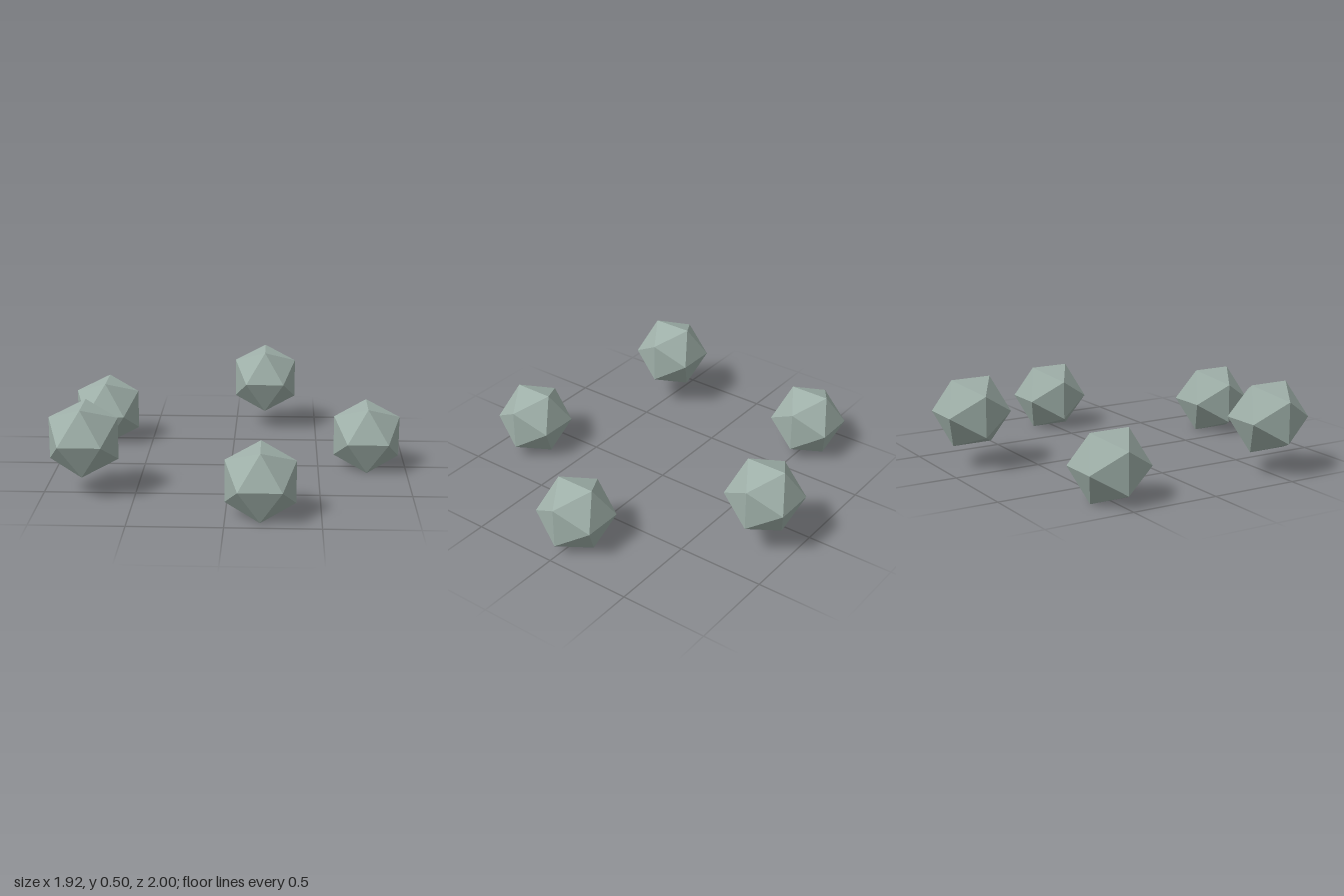
import * as THREE from 'three';

export function createModel() {
  const group = new THREE.Group();
  group.name = 'rockRing';

  const stone = new THREE.MeshStandardMaterial({ color: 0x9fb0a9, flatShading: true });
  stone.name = 'grey green stone';

  // One icosahedron, turned so its top edge runs along z
  const half = 0.186;
  const geometry = new THREE.IcosahedronGeometry(half * 1.1756, 0);
  geometry.rotateY(Math.PI / 2);

  // Five rocks on a ring, two of them floating higher
  const ring = 0.856;
  const lifts = [0, 0, 0.125, 0, 0.125];
  lifts.forEach((lift, i) => {
    const a = (i / lifts.length) * Math.PI * 2;
    const rock = new THREE.Mesh(geometry, stone);
    rock.name = `rock${i + 1}`;
    rock.position.set(Math.cos(a) * ring - 0.082, half + lift, Math.sin(a) * ring);
    group.add(rock);
  });

  return group;
}
